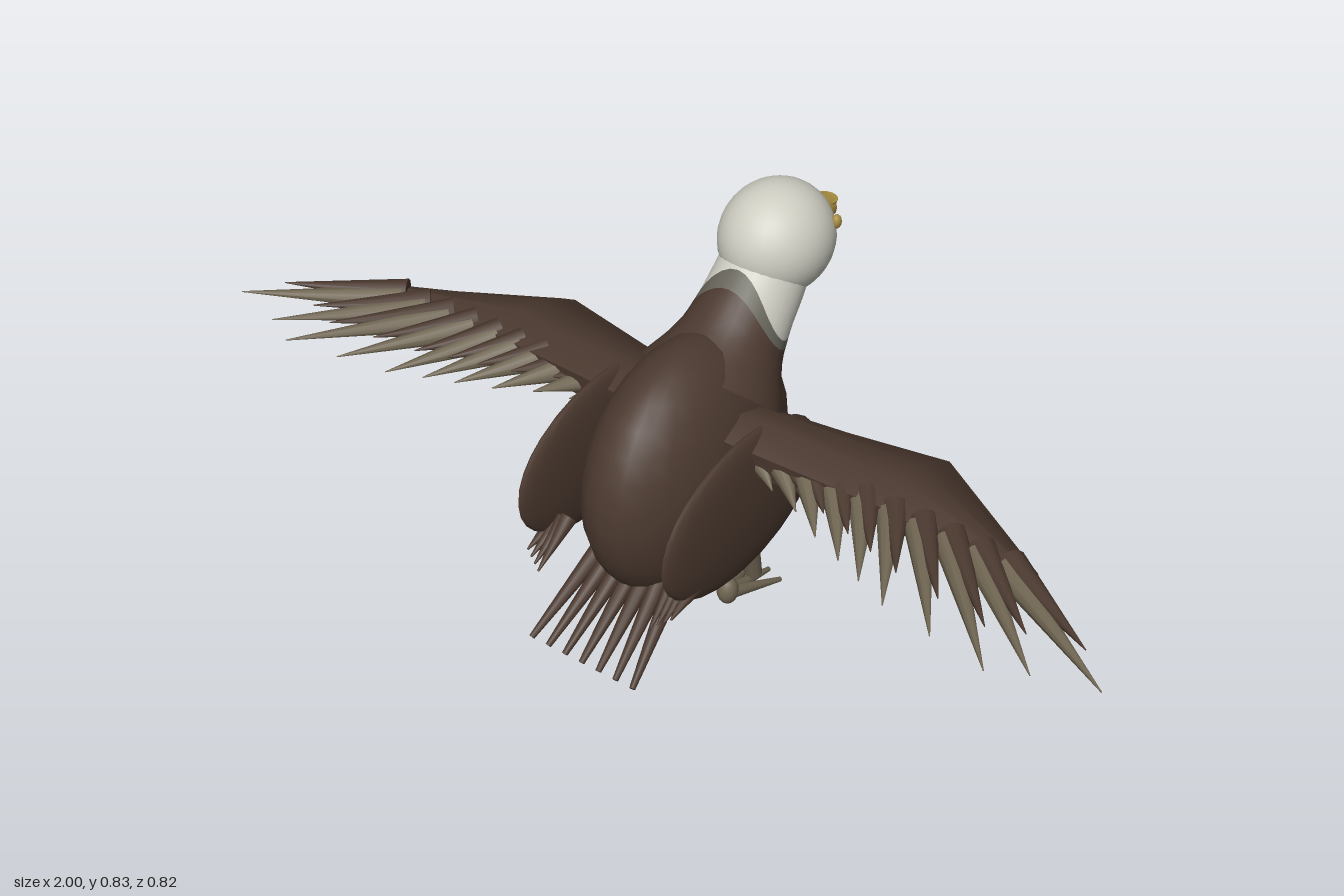
import * as THREE from 'three';
import { toCreasedNormals } from 'three/addons/utils/BufferGeometryUtils.js';

const V = (x, y, z) => new THREE.Vector3(x, y, z);

function material(name, color) {
  const m = new THREE.MeshStandardMaterial({ color });
  m.name = name;
  return m;
}

// Skin a list of closed rings (each counterclockwise around the direction of travel)
function loft(rings) {
  const n = rings[0].length, pos = [], idx = [];
  rings.forEach(r => r.forEach(p => pos.push(p.x, p.y, p.z)));
  for (let i = 0; i < rings.length - 1; i++) {
    for (let j = 0; j < n; j++) {
      const k = (j + 1) % n;
      const a = i * n + j, b = i * n + k, c = b + n, d = a + n;
      idx.push(a, b, c, a, c, d);
    }
  }
  const g = new THREE.BufferGeometry();
  g.setAttribute('position', new THREE.Float32BufferAttribute(pos, 3));
  g.setIndex(idx);
  g.computeVertexNormals();
  return g;
}

export function createModel() {
  const model = new THREE.Group();
  model.name = 'bird';
  const brown = material('brown plumage', 0x4b392f);
  const white = material('white plumage', 0xcdcdc2);
  const grey = material('grey collar', 0x66645a);
  const tan = material('tan feather', 0x6f6552);
  const gold = material('gold beak', 0xa88c40);

  function add(name, geometry, mat, parent = model) {
    const m = new THREE.Mesh(geometry, mat);
    m.name = name;
    parent.add(m);
    return m;
  }
  function ellipsoid(name, mat, c, r, w = 24, h = 16, parent = model) {
    const g = new THREE.SphereGeometry(1, w, h);
    g.scale(...r);
    const m = add(name, g, mat, parent);
    m.position.set(...c);
    return m;
  }
  // Tapered rod from a to b
  function rod(name, mat, a, b, ra, rb, parent = model, sides = 12) {
    const dir = b.clone().sub(a);
    const m = add(name, new THREE.CylinderGeometry(rb, ra, dir.length(), sides), mat, parent);
    m.position.copy(a).lerp(b, 0.5);
    m.quaternion.setFromUnitVectors(V(0, 1, 0), dir.normalize());
    return m;
  }

  // Body and head
  ellipsoid('body', brown, [0, 0.358, 0.068], [0.147, 0.268, 0.27]);
  ellipsoid('head', white, [0, 0.716, -0.223], [0.111, 0.114, 0.122], 32, 20);

  // Neck: flared tube leaning forward, split into three colour bands with curved borders
  const origin = V(0, 0.56, -0.083), axis = V(0, 0.72, -0.69).normalize();
  const across = V(1, 0, 0), front = axis.clone().cross(across);
  const profile = [[-0.1, 0.15], [-0.04, 0.118], [0, 0.103], [0.06, 0.094], [0.13, 0.09], [0.2, 0.08]];
  const radius = s => {
    const i = Math.max(1, profile.findIndex(p => p[0] >= s - 1e-6));
    const [a, ra] = profile[i - 1], [b, rb] = profile[i];
    return THREE.MathUtils.mapLinear(s, a, b, ra, rb);
  };
  const borders = [() => -0.1, q => 0.012 + 0.062 * q, q => 0.03 + 0.085 * q, () => 0.2];
  [brown, grey, white].forEach((mat, band) => {
    const rings = [];
    for (let i = 0; i <= 8; i++) {
      const ring = [];
      for (let j = 0; j < 32; j++) {
        const t = j / 32 * Math.PI * 2, q = Math.sin(t) ** 2;
        const s = THREE.MathUtils.lerp(borders[band](q), borders[band + 1](q), i / 8);
        ring.push(origin.clone().addScaledVector(axis, s)
          .addScaledVector(across, Math.cos(t) * radius(s))
          .addScaledVector(front, Math.sin(t) * radius(s)));
      }
      rings.push(ring);
    }
    add(['neck', 'collar', 'nape'][band], loft(rings), mat);
  });

  // Beak with hooked tip
  rod('beak', gold, V(0, 0.707, -0.31), V(0, 0.702, -0.39), 0.036, 0.026, model, 16);
  rod('beakHook', gold, V(0, 0.719, -0.385), V(0, 0.643, -0.381), 0.026, 0.002, model, 16);

  // Tail fan
  for (let i = 0; i < 7; i++) {
    const u = (i - 3) / 3;
    rod('tailFeather', brown, V(u * 0.085, 0.215, 0.21), V(u * 0.122, 0.08, 0.405), 0.021, 0.006);
  }

  // Tips of the outer wing feathers, as x and z
  const tips = [[0.24, 0.125], [0.31, 0.15], [0.38, 0.19], [0.45, 0.22], [0.51, 0.245],
    [0.58, 0.275], [0.69, 0.295], [0.81, 0.315], [0.88, 0.28], [0.998, 0.245]];
  // Wing sections: x, leading z, trailing z, bottom y, top y
  const sections = [[0.1, -0.085, 0.12, 0.415, 0.515], [0.45, -0.155, 0.09, 0.415, 0.492],
    [0.75, 0.028, 0.088, 0.42, 0.458]];

  for (const s of [1, -1]) {
    const side = s > 0 ? 'left' : 'right';

    // Eye
    ellipsoid(side + 'Eye', gold, [s * 0.092, 0.75, -0.288], [0.01, 0.015, 0.011], 12, 8);

    // Flank panel with small feathers below its rear end
    ellipsoid(side + 'Flank', brown, [s * 0.168, 0.358, 0.122], [0.028, 0.157, 0.248]);
    for (let i = 0; i < 4; i++) {
      rod(side + 'FlankFeather', brown, V(s * (0.13 + i * 0.012), 0.285 - i * 0.008, 0.27),
        V(s * (0.135 + i * 0.012), 0.21 + i * 0.009, 0.362 - i * 0.005), 0.017, 0.002);
    }

    // Spread wing
    const wing = new THREE.Group();
    wing.name = side + 'Wing';
    model.add(wing);
    const rings = sections.map(([x, z0, z1, y0, y1]) => {
      const at = (u, v) => V(s * x, y0 + (y1 - y0) * v, z0 + (z1 - z0) * u);
      const ring = [at(0.18, 0.45), at(0.42, 0.82), at(0.7, 1), at(1, 0.75),
        at(0.97, 0.15), at(0.6, 0), at(0.2, 0), at(0, 0.08)];
      return s > 0 ? ring : ring.reverse();
    });
    const cap = ring => {
      const c = V(0, 0, 0);
      ring.forEach(p => c.addScaledVector(p, 1 / ring.length));
      return ring.map(() => c.clone());
    };
    rings.unshift(cap(rings[0]));
    rings.push(cap(rings[rings.length - 1]));
    add(side + 'WingArm', toCreasedNormals(loft(rings), 0.7), brown, wing);

    // Long tan feathers with shorter brown ones laid over them
    tips.forEach(([x, z], i) => {
      const t = i / (tips.length - 1);
      const base = V(s * (0.16 + 0.55 * t), 0.462 - 0.015 * t, 0.075);
      const tip = V(s * x, 0.432 + 0.008 * t, z);
      rod(side + 'LongFeather', tan, base, tip, 0.027, 0.001, wing, 10);
      const cover = base.clone().lerp(tip, 0.72).add(V(s * 0.015, 0.014, -0.012));
      rod(side + 'CoverFeather', brown, base.clone().add(V(0, 0.006, -0.015)), cover, 0.028, 0.001, wing, 10);
    });

    // Leg, heel and three toes
    const leg = new THREE.Group();
    leg.name = side + 'Leg';
    model.add(leg);
    rod(side + 'Shin', tan, V(s * 0.08, 0.165, -0.016), V(s * 0.08, 0.035, -0.046), 0.026, 0.018, leg);
    ellipsoid(side + 'Heel', tan, [s * 0.08, 0.05, 0.042], [0.022, 0.031, 0.023], 16, 10, leg);
    for (const k of [-1, 0, 1]) {
      rod(side + 'Toe', tan, V(s * 0.08 + k * 0.006, 0.046, 0.04),
        V(s * 0.08 + k * 0.037, 0.006, -0.1 + Math.abs(k) * 0.012), 0.014, 0.005, leg);
    }
  }
  return model;
}
